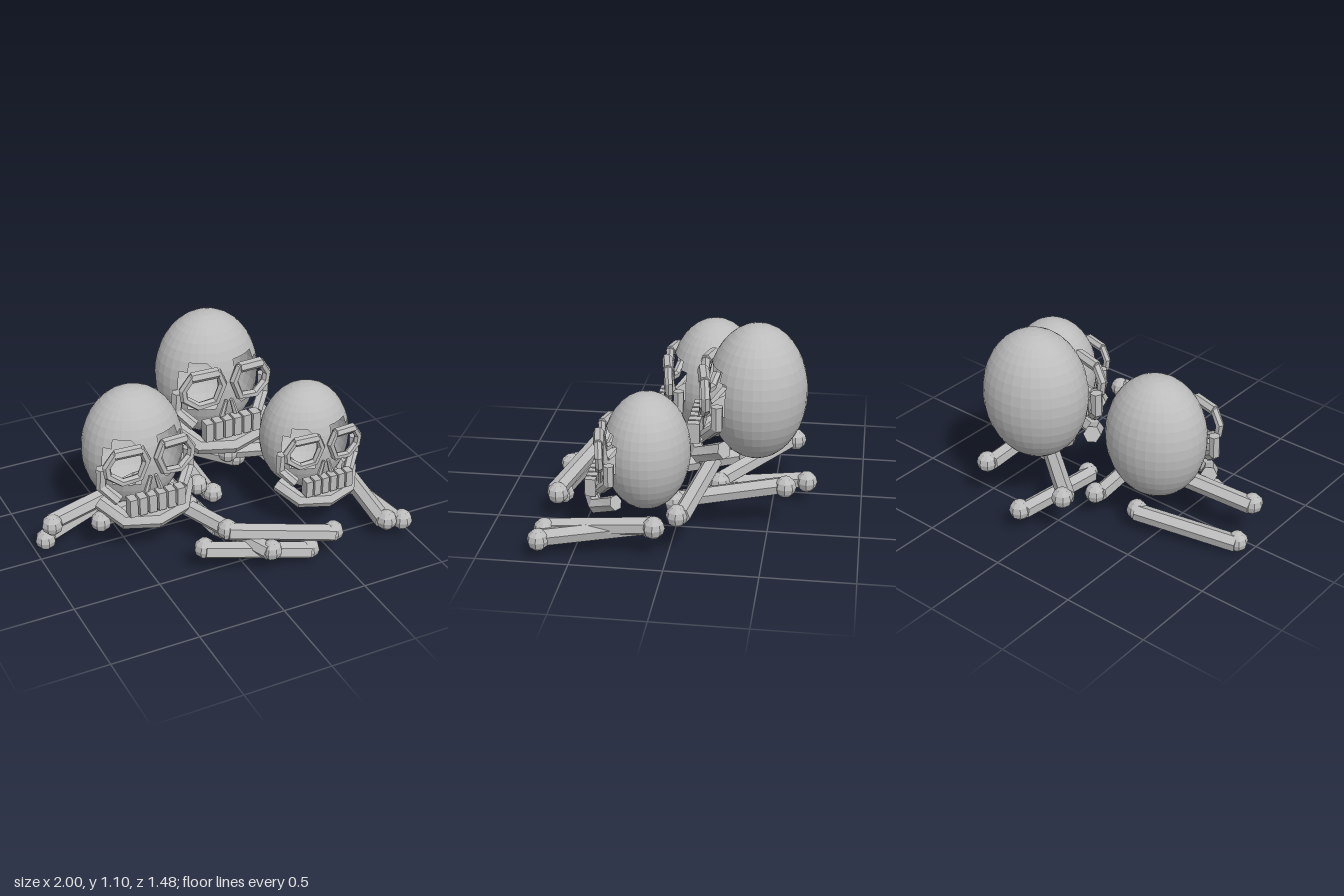
import * as THREE from 'three';

const bone = new THREE.MeshStandardMaterial({ color: 0xbcbcbc, flatShading: true, side: THREE.DoubleSide });
bone.name = 'bone grey';

const V = (p) => new THREE.Vector3(...p);

function add(parent, name, geometry, position = [0, 0, 0]) {
  const mesh = new THREE.Mesh(geometry, bone);
  mesh.name = name;
  mesh.position.set(...position);
  parent.add(mesh);
  return mesh;
}

// Faceted rod between two points
function rod(parent, name, a, b, r0, r1 = r0) {
  const dir = V(b).sub(V(a));
  const mesh = add(parent, name, new THREE.CylinderGeometry(r1, r0, dir.length(), 6));
  mesh.position.copy(V(a).add(V(b)).multiplyScalar(0.5));
  mesh.quaternion.setFromUnitVectors(new THREE.Vector3(0, 1, 0), dir.normalize());
}

// Hexagonal bar swept along a bent path with mitred corners
function bar(parent, name, path, r, ref, closed = false) {
  const pts = path.map(V);
  const n = pts.length;
  const sides = 6;
  const verts = [];
  const index = [];
  pts.forEach((p, i) => {
    const prev = pts[closed ? (i + n - 1) % n : Math.max(i - 1, 0)];
    const next = pts[closed ? (i + 1) % n : Math.min(i + 1, n - 1)];
    const t = p.clone().sub(prev).normalize().add(next.clone().sub(p).normalize()).normalize();
    const u = V(ref).cross(t).normalize();
    const v = t.clone().cross(u);
    for (let k = 0; k < sides; k++) {
      const a = (k / sides) * Math.PI * 2;
      const q = p.clone().addScaledVector(u, r * Math.cos(a)).addScaledVector(v, r * Math.sin(a));
      verts.push(q.x, q.y, q.z);
    }
  });
  for (let i = 0; i < (closed ? n : n - 1); i++) {
    for (let k = 0; k < sides; k++) {
      const a = i * sides + k;
      const b = i * sides + ((k + 1) % sides);
      const c = ((i + 1) % n) * sides + k;
      const d = ((i + 1) % n) * sides + ((k + 1) % sides);
      index.push(a, b, d, a, d, c);
    }
  }
  if (!closed) {
    const e = (n - 1) * sides;
    for (let k = 1; k < sides - 1; k++) index.push(0, k + 1, k, e, e + k, e + k + 1);
  }
  const geo = new THREE.BufferGeometry();
  geo.setAttribute('position', new THREE.Float32BufferAttribute(verts, 3));
  geo.setIndex(index);
  geo.computeVertexNormals();
  add(parent, name, geo);
}

// Egg-shaped braincase with two stepped eye openings
function craniumGeometry() {
  const geo = new THREE.SphereGeometry(1, 32, 20);
  const pos = geo.attributes.position;
  const old = geo.index.array;
  const kept = [];
  const middle = (values) => (Math.min(...values) + Math.max(...values)) / 2;
  for (let i = 0; i < old.length; i += 3) {
    const tri = [old[i], old[i + 1], old[i + 2]];
    const x = middle(tri.map((k) => pos.getX(k)));
    const y = middle(tri.map((k) => pos.getY(k)));
    const z = middle(tri.map((k) => pos.getZ(k)));
    const open = z > 0 && Math.hypot(Math.abs(x) - 0.46, y - 0.08) < 0.36;
    if (!open) kept.push(...tri);
  }
  geo.setIndex(kept);
  return geo.scale(0.307, 0.38, 0.275);
}

function createSkull(name, position, scale) {
  const skull = new THREE.Group();
  skull.name = name;
  add(skull, 'cranium', craniumGeometry());

  for (const s of [-1, 1]) {
    const side = (pts) => pts.map(([x, y, z]) => [s * x, y, z]);
    // Eye socket rim, with a heavier brow along its top
    const rim = side([
      [0.268, 0.05, 0.25], [0.22, 0.125, 0.262], [0.065, 0.138, 0.29], [0.035, 0.06, 0.29],
      [0.075, -0.045, 0.285], [0.18, -0.065, 0.27], [0.26, -0.01, 0.25],
    ]);
    bar(skull, 'eyeSocketRim', rim, 0.026, [0, 0, 1], true);
    rod(skull, 'brow', rim[1], rim[2], 0.032);
    // Cheekbone dropping from the temple toward the teeth
    bar(skull, 'cheekbone', side([[0.275, 0.01, 0.19], [0.28, -0.11, 0.19], [0.2, -0.19, 0.26]]), 0.035, [0, 0, 1]);
    // Nose opening edge
    rod(skull, 'noseEdge', [s * 0.016, -0.05, 0.3], [s * 0.045, -0.15, 0.3], 0.012, 0.018);
  }

  // Lower jaw wrapping round the front
  bar(skull, 'jaw', [
    [-0.275, -0.24, 0.15], [-0.18, -0.315, 0.295], [0, -0.32, 0.357], [0.18, -0.315, 0.295], [0.275, -0.24, 0.15],
  ], 0.05, [0, 1, 0]);

  // Upper teeth
  for (let i = 0; i < 6; i++) {
    add(skull, 'tooth', new THREE.BoxGeometry(0.048, 0.115, 0.068), [(i - 2.5) * 0.06, -0.2, 0.33]);
  }

  skull.position.set(...position);
  skull.scale.setScalar(scale);
  return skull;
}

// Long bone: a knob at each end, the shaft set slightly to one side of them
function createLongBone(a, b) {
  const group = new THREE.Group();
  group.name = 'longBone';
  const dir = V(b).sub(V(a)).setY(0).normalize();
  const shift = ([x, y, z]) => [x - dir.z * 0.022, y, z + dir.x * 0.022];
  rod(group, 'shaft', shift(a), shift(b), 0.05);
  for (const end of [a, b]) add(group, 'knob', new THREE.SphereGeometry(0.06, 8, 6), end);
  return group;
}

export function createModel() {
  const model = new THREE.Group();
  model.name = 'bonePile';

  model.add(createSkull('skullRight', [-0.383, 0.538, -0.11], 0.953));
  model.add(createSkull('skullBack', [0.225, 0.72, -0.41], 1));
  model.add(createSkull('skullLeft', [0.58, 0.494, 0.145], 0.857));

  const ends = [
    [[-0.37, 0.31, -0.06], [-0.935, 0.245, 0.04]],
    [[-0.38, 0.125, -0.27], [-0.935, 0.065, -0.09]],
    [[-0.13, 0.28, -0.61], [0.33, 0.2, -0.22]],
    [[0.115, 0.135, -0.69], [0.12, 0.07, -0.1]],
    [[0.45, 0.26, -0.59], [0.56, 0.19, 0]],
    [[0.825, 0.24, -0.05], [0.24, 0.29, -0.15]],
    [[0.88, 0.19, 0.065], [0.845, 0.125, 0.655]],
    [[0.82, 0.16, 0.09], [0.94, 0.11, 0.67]],
    [[-0.13, 0.16, -0.33], [0, 0.075, 0.26]],
    [[-0.06, 0.27, 0.06], [-0.66, 0.205, 0.07]],
    [[-0.15, 0.2, 0.13], [0.1, 0.155, 0.665]],
    [[-0.225, 0.16, 0.495], [0.34, 0.09, 0.66]],
    [[-0.085, 0.24, 0.495], [0.49, 0.16, 0.66]],
  ];
  for (const [a, b] of ends) model.add(createLongBone(a, b));
  return model;
}
